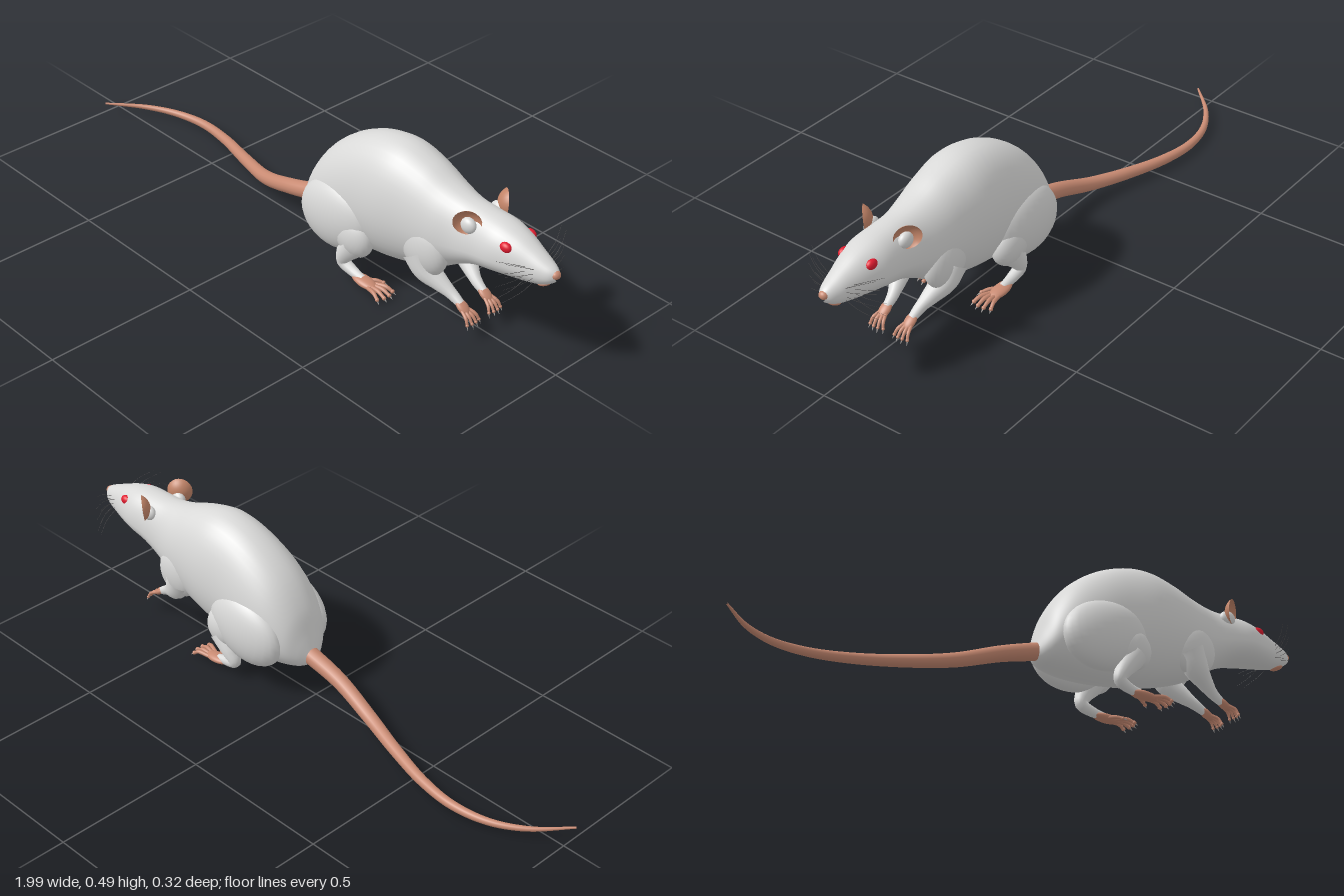
import * as THREE from 'three';

const mat = (name, color, side = THREE.FrontSide) => {
  const m = new THREE.MeshStandardMaterial({ color, side });
  m.name = name;
  return m;
};

export function createModel() {
  const rat = new THREE.Group();
  rat.name = 'rat';
  const fur = mat('white fur', 0xd9d9d8);
  const skin = mat('pink skin', 0xc88a72);
  const earSkin = mat('ear skin', 0xc28468, THREE.DoubleSide);
  const red = mat('red eye', 0xe01c30);
  const claw = mat('grey claw', 0xaaa5a2);
  const dark = mat('dark whisker', 0x4a4848);

  const add = (name, geometry, material, parent = rat) => {
    const mesh = new THREE.Mesh(geometry, material);
    mesh.name = name;
    parent.add(mesh);
    return mesh;
  };
  const group = (name) => {
    const g = new THREE.Group();
    g.name = name;
    rat.add(g);
    return g;
  };
  const ball = (name, p, r, material, parent, tilt = 0) => {
    const m = add(name, new THREE.SphereGeometry(1, 28, 20), material, parent);
    m.position.set(...p);
    m.scale.set(...r);
    m.rotation.z = tilt;
    return m;
  };
  // Tube through points whose radius follows a list of radii
  const limb = (name, pts, radii, material, parent, segs = 16, sides = 12) => {
    const curve = new THREE.CatmullRomCurve3(pts.map((p) => new THREE.Vector3(...p)));
    const g = new THREE.TubeGeometry(curve, segs, 1, sides);
    const pos = g.attributes.position, v = new THREE.Vector3();
    for (let i = 0; i <= segs; i++) {
      const u = i / segs, f = u * (radii.length - 1);
      const k = Math.min(Math.floor(f), radii.length - 2);
      const r = THREE.MathUtils.lerp(radii[k], radii[k + 1], f - k);
      const c = curve.getPointAt(u);
      for (let j = 0; j <= sides; j++) {
        const n = i * (sides + 1) + j;
        v.fromBufferAttribute(pos, n).sub(c).multiplyScalar(r).add(c);
        pos.setXYZ(n, v.x, v.y, v.z);
      }
    }
    return add(name, g, material, parent);
  };

  // Body and head: sections of x, top, widest height, bottom, half width
  const sections = [
    [0.012, 0.15, 0.13, 0.115, 0.018], [0.03, 0.205, 0.15, 0.1, 0.055],
    [0.06, 0.285, 0.18, 0.09, 0.09], [0.12, 0.37, 0.21, 0.08, 0.118],
    [0.2, 0.433, 0.24, 0.077, 0.13], [0.3, 0.478, 0.27, 0.085, 0.131],
    [0.4, 0.491, 0.29, 0.1, 0.13], [0.5, 0.468, 0.29, 0.127, 0.116],
    [0.58, 0.437, 0.285, 0.16, 0.102], [0.65, 0.42, 0.29, 0.205, 0.086],
    [0.72, 0.415, 0.305, 0.24, 0.081], [0.79, 0.41, 0.315, 0.256, 0.079],
    [0.85, 0.395, 0.315, 0.264, 0.064], [0.9, 0.374, 0.315, 0.27, 0.048],
    [0.94, 0.356, 0.315, 0.281, 0.036], [0.965, 0.344, 0.317, 0.295, 0.024],
    [0.98, 0.333, 0.32, 0.308, 0.009],
  ];
  const topLine = new THREE.CatmullRomCurve3(sections.map((s) => new THREE.Vector3(s[0], s[1], s[4])));
  const lowLine = new THREE.CatmullRomCurve3(sections.map((s) => new THREE.Vector3(s[0], s[3], s[2])));
  const rings = 96, sides = 40, verts = [], index = [];
  for (let i = 0; i <= rings; i++) {
    const a = topLine.getPoint(i / rings), b = lowLine.getPoint(i / rings);
    for (let j = 0; j < sides; j++) {
      const t = (j / sides) * Math.PI * 2, c = Math.cos(t), s = Math.sin(t);
      const y = b.z + c * (c > 0 ? a.y - b.z : b.z - b.y);
      verts.push(a.x, y, a.z * Math.sign(s) * Math.pow(Math.abs(s), 0.92));
      if (i < rings) {
        const p = i * sides + j, q = i * sides + ((j + 1) % sides);
        index.push(p, q, p + sides, q, q + sides, p + sides);
      }
    }
  }
  const bodyGeo = new THREE.BufferGeometry();
  bodyGeo.setAttribute('position', new THREE.Float32BufferAttribute(verts, 3));
  bodyGeo.setIndex(index);
  bodyGeo.computeVertexNormals();
  add('body', bodyGeo, fur);

  // Tail
  limb('tail', [
    [0.04, 0.14, 0], [-0.1, 0.1, 0.003], [-0.25, 0.054, -0.018], [-0.4, 0.034, -0.06],
    [-0.55, 0.025, -0.1], [-0.68, 0.021, -0.114], [-0.8, 0.019, -0.092],
    [-0.9, 0.022, -0.038], [-0.998, 0.03, 0.056],
  ], [0.029, 0.025, 0.022, 0.019, 0.016, 0.013, 0.009, 0.003], skin, rat, 72, 16);

  // Nose and mouth
  ball('nose', [0.973, 0.325, 0], [0.013, 0.013, 0.015], skin, rat);
  ball('lowerLip', [0.935, 0.282, 0], [0.022, 0.009, 0.02], skin, rat, 0.35);

  // One toe with its claw
  const toe = (parent, from, mid, to, r) => {
    limb('toe', [from, mid, to], [r, r * 1.05, r * 0.8], skin, parent, 8, 8);
    ball('toePad', to, [r, r, r], skin, parent);
    const d = new THREE.Vector3(...to).sub(new THREE.Vector3(...mid)).normalize();
    d.y -= 0.3;
    d.normalize();
    const c = add('claw', new THREE.ConeGeometry(r * 0.6, 0.016, 8), claw, parent);
    c.position.set(...to).addScaledVector(d, 0.009);
    c.quaternion.setFromUnitVectors(new THREE.Vector3(0, 1, 0), d);
  };

  for (const s of [1, -1]) {
    const side = s > 0 ? 'right' : 'left';

    // Hind leg
    const hind = group(`${side}HindLeg`);
    ball('thigh', [0.21, 0.195, s * 0.095], [0.15, 0.115, 0.064], fur, hind, 0.25);
    ball('knee', [0.29, 0.165, s * 0.108], [0.075, 0.07, 0.045], fur, hind, -0.5);
    limb('shin', [[0.3, 0.14, s * 0.11], [0.262, 0.085, s * 0.115], [0.25, 0.052, s * 0.112],
      [0.285, 0.032, s * 0.108], [0.33, 0.023, s * 0.107]],
    [0.045, 0.034, 0.021, 0.017, 0.012], fur, hind, 20, 14);
    ball('foot', [0.338, 0.019, s * 0.107], [0.05, 0.013, 0.024], skin, hind, -0.08);
    for (let i = 0; i < 4; i++) {
      const f = i - 1.5, reach = 0.432 - Math.abs(f) * 0.008;
      toe(hind, [0.365, 0.017, s * (0.106 + f * 0.01)], [0.402, 0.019, s * (0.104 + f * 0.017)],
        [reach, 0.009, s * (0.103 + f * 0.021)], 0.0065);
    }
    toe(hind, [0.335, 0.016, s * 0.09], [0.355, 0.016, s * 0.074], [0.372, 0.011, s * 0.062], 0.006);

    // Front leg
    const front = group(`${side}FrontLeg`);
    ball('shoulder', [0.545, 0.235, s * 0.072], [0.085, 0.09, 0.044], fur, front, 0.5);
    limb('forearm', [[0.53, 0.22, s * 0.08], [0.56, 0.168, s * 0.076], [0.6, 0.135, s * 0.062],
      [0.64, 0.107, s * 0.05], [0.672, 0.088, s * 0.047]],
    [0.05, 0.042, 0.03, 0.019, 0.013], fur, front, 20, 14);
    ball('paw', [0.68, 0.083, s * 0.047], [0.029, 0.011, 0.018], skin, front, -0.6);
    for (let i = 0; i < 4; i++) {
      const f = i - 1.5;
      toe(front, [0.69, 0.077, s * (0.047 + f * 0.008)], [0.712, 0.066, s * (0.046 + f * 0.013)],
        [0.727 - Math.abs(f) * 0.004, 0.049, s * (0.045 + f * 0.016)], 0.005);
    }

    // Ear: a shallow cup on a short root
    const ear = group(`${side}Ear`);
    const cup = add('earCup', new THREE.SphereGeometry(0.048, 24, 10, 0, Math.PI * 2, 0, 1.05), earSkin, ear);
    const out = new THREE.Vector3(0.6, -0.1, s * 0.75).normalize();
    cup.quaternion.setFromUnitVectors(new THREE.Vector3(0, -1, 0), out);
    cup.position.set(0.71, 0.4, s * 0.078).addScaledVector(out, 0.024);
    ball('earRoot', [0.7, 0.38, s * 0.062], [0.028, 0.025, 0.018], fur, ear);

    // Eye
    ball(`${side}Eye`, [0.83, 0.366, s * 0.049], [0.021, 0.016, 0.014], red, rat);

    // Whiskers
    const whiskers = group(`${side}Whiskers`);
    for (let i = 0; i < 8; i++) {
      const row = i % 4, col = Math.floor(i / 4);
      const x = 0.925 - col * 0.025, y = 0.295 + row * 0.013, z = 0.035 + col * 0.008;
      limb('whisker', [[x, y, s * z], [x - 0.005, y + (row - 1.3) * 0.014, s * (z + 0.04)],
        [x - 0.03, y + (row - 1.5) * 0.03, s * (z + 0.09)]],
      [0.0008, 0.0006, 0.0003], dark, whiskers, 6, 4);
    }
  }
  return rat;
}
